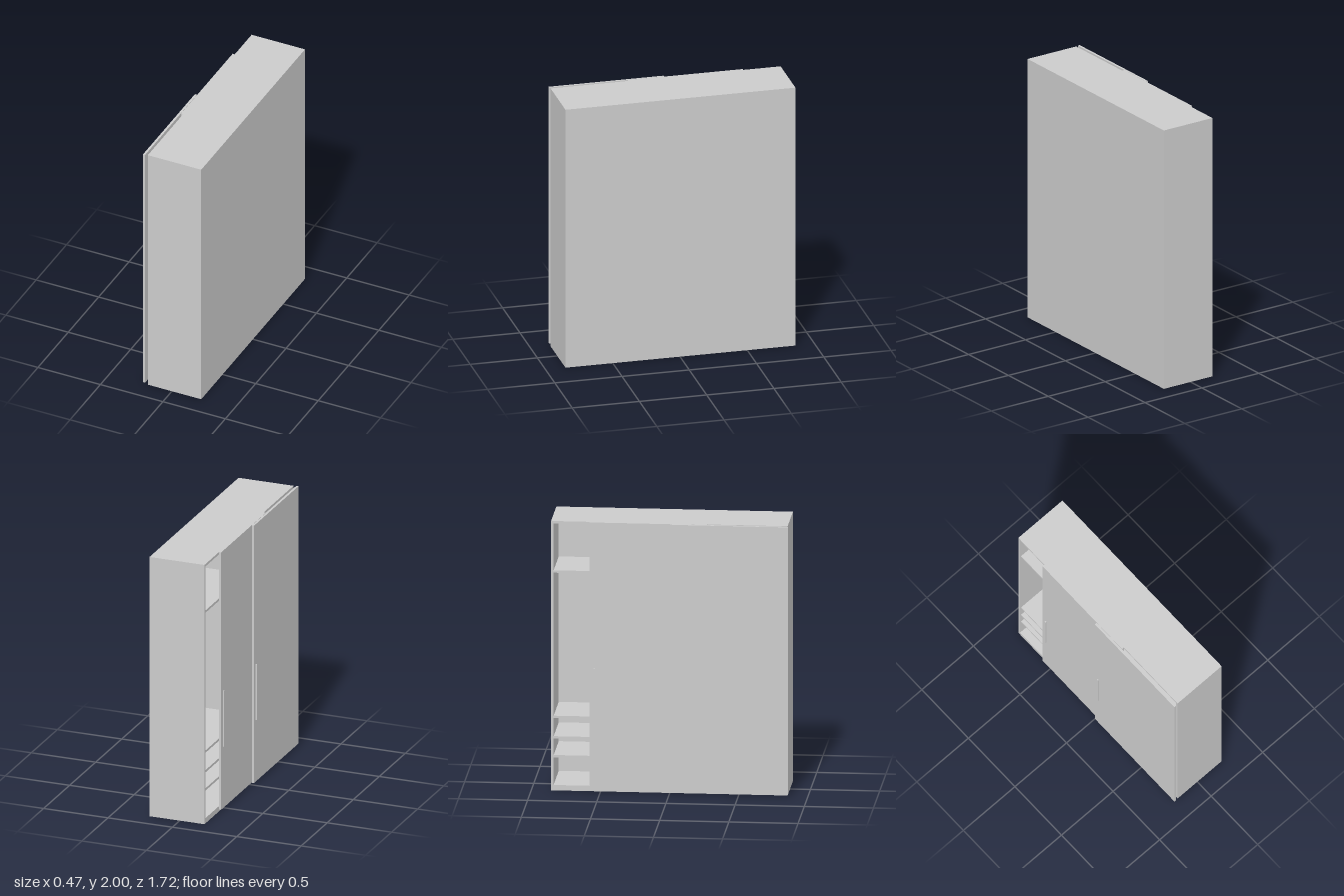
import * as THREE from 'three';

const material = new THREE.MeshStandardMaterial({ color: 0xcccccc, flatShading: true });

// Box given by its lower and upper corners
function panel(name, [x0, y0, z0], [x1, y1, z1]) {
  const mesh = new THREE.Mesh(new THREE.BoxGeometry(x1 - x0, y1 - y0, z1 - z0), material);
  mesh.name = name;
  mesh.position.set((x0 + x1) / 2, (y0 + y1) / 2, (z0 + z1) / 2);
  return mesh;
}

const T = 0.018;              // board thickness
const W = 0.855;              // width of a cabinet and of a door
const FRONT = -0.192, BACK = 0.235;

// Open cabinet with shelves, doors towards -x
function cabinet(name, z0) {
  const g = new THREE.Group();
  g.name = name;
  const z1 = z0 + W, a = z0 + T, b = z1 - T;
  g.add(
    panel('sidePanel', [FRONT, 0, z0], [BACK, 2, a]),
    panel('sidePanel', [FRONT, 0, b], [BACK, 2, z1]),
    panel('topPanel', [FRONT, 2 - T, a], [BACK, 2, b]),
    panel('bottomPanel', [FRONT, 0, a], [BACK, 0.04, b]),
    panel('backPanel', [BACK - 0.01, 0.04, a], [BACK, 2 - T, b])
  );
  for (const y of [0.26, 0.4, 0.552, 1.632])
    g.add(panel('shelf', [FRONT + 0.01, y - T, a], [BACK - 0.01, y, b]));
  return g;
}

// Sliding door with a slim vertical pull near its edge
function slidingDoor(name, x0, z0) {
  const g = new THREE.Group();
  g.name = name;
  g.add(
    panel('doorPanel', [x0, 0.015, z0], [x0 + 0.017, 2, z0 + W]),
    panel('handle', [x0 - 0.01, 0.49, z0 + 0.033], [x0, 0.92, z0 + 0.043])
  );
  return g;
}

export function createModel() {
  const wardrobe = new THREE.Group();
  wardrobe.name = 'wardrobe';
  wardrobe.add(
    cabinet('rightCabinet', -0.858),
    cabinet('leftCabinet', -0.858 + W),
    slidingDoor('innerDoor', -0.209, -0.58),
    slidingDoor('outerDoor', -0.228, 0.003)
  );
  return wardrobe;
}
